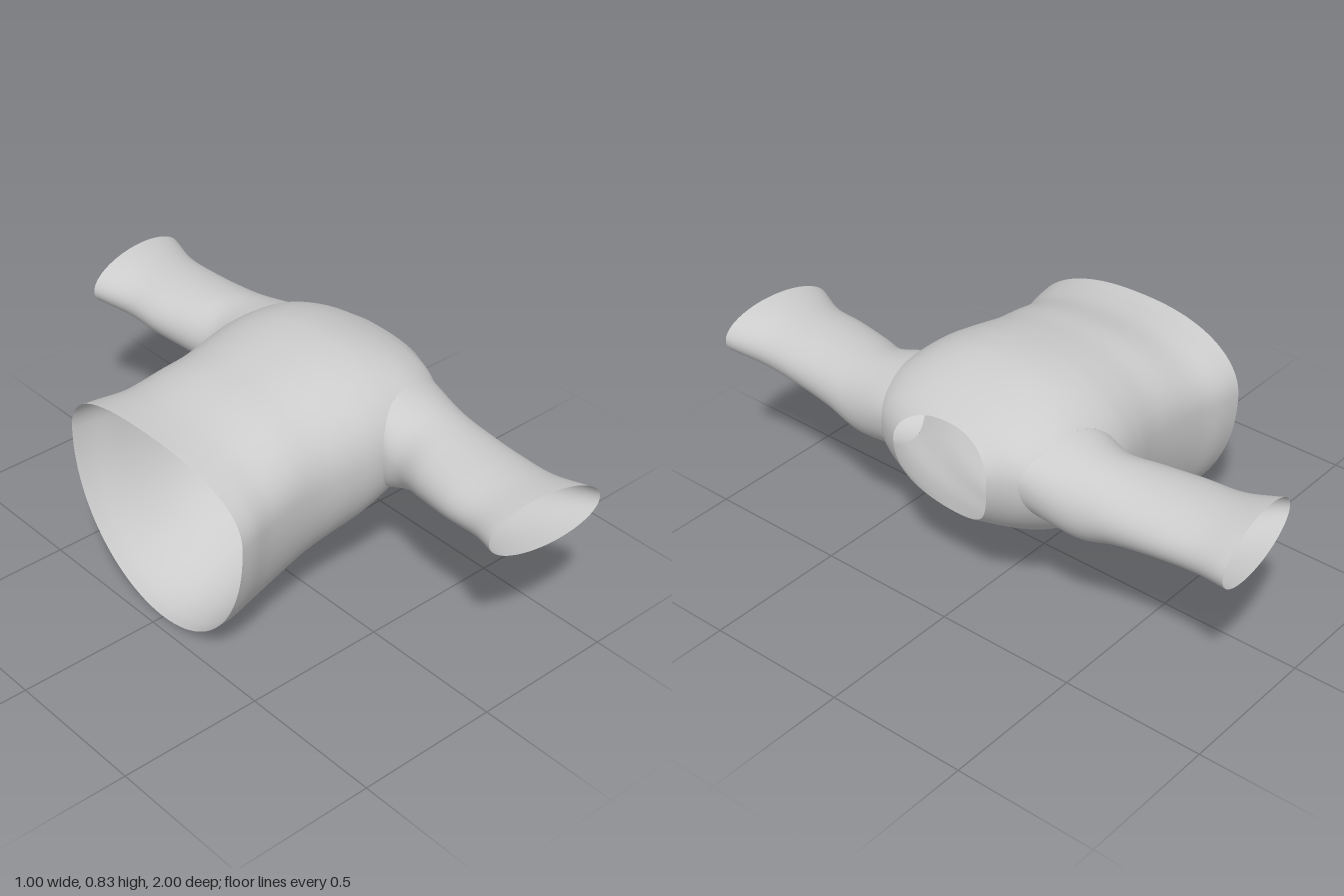
import * as THREE from 'three';

const material = new THREE.MeshStandardMaterial({ color: 0xcccccc, side: THREE.DoubleSide });

// Torso rings from hem to neck: x at top, side, bottom; y at top, side, bottom; half width
const RINGS = [
  [-0.5, -0.475, -0.46, 0.74, 0.52, 0.008, 0.42],
  [-0.43, -0.42, -0.41, 0.738, 0.52, 0.004, 0.41],
  [-0.34, -0.33, -0.32, 0.745, 0.52, 0.014, 0.385],
  [-0.2, -0.2, -0.2, 0.78, 0.53, 0.055, 0.37],
  [-0.1, -0.1, -0.1, 0.797, 0.53, 0.105, 0.37],
  [0, 0, 0, 0.815, 0.54, 0.147, 0.385],
  [0.1, 0.1, 0.1, 0.828, 0.55, 0.182, 0.4],
  [0.2, 0.21, 0.2, 0.828, 0.56, 0.24, 0.4],
  [0.31, 0.33, 0.29, 0.803, 0.58, 0.288, 0.385],
  [0.4, 0.435, 0.36, 0.765, 0.6, 0.33, 0.31],
  [0.46, 0.5, 0.42, 0.73, 0.6, 0.366, 0.188],
];

// Sleeve rings: z at the underarm and shoulder edge, then x and y ranges
const CUFFS = [
  [0.46, 0.45, 0.118, 0.432, 0.425, 0.702],
  [0.57, 0.57, 0.092, 0.418, 0.455, 0.69],
  [0.7, 0.72, 0.068, 0.406, 0.475, 0.685],
  [0.83, 0.87, 0.058, 0.403, 0.49, 0.687],
  [0.945, 1.0, 0.015, 0.432, 0.51, 0.702],
];

// Armhole ellipse in (ring number, angle) space
const ARM = { u: 7.7, a: 0.05, ru: 1.6, ra: 0.6 };

function ringPoint([xT, xS, xB, yT, yM, yB, w], a) {
  const s = Math.sin(a), c = Math.cos(a);
  const e = s > 0 ? 2 / 2.3 : 1;
  const x = xS + ((s > 0 ? xT : xB) - xS) * s * s;
  const y = yM + ((s > 0 ? yT : yB) - yM) * Math.abs(s) ** e;
  return new THREE.Vector3(x, y, w * Math.sign(c) * Math.abs(c) ** e);
}

function torsoPoint(u, a) {
  const curve = new THREE.CatmullRomCurve3(RINGS.map((r) => ringPoint(r, a)));
  return curve.getPoint(Math.min(1, u / (RINGS.length - 1)));
}

// Tube surface from rows of points; triangles whose corners are all cut away are dropped
function tubeMesh(name, rows, flip, cut = () => false) {
  const n = rows[0].length, index = [];
  const tri = (a, b, c) => {
    if (cut(a) && cut(b) && cut(c)) return;
    if (flip) index.push(a, c, b);
    else index.push(a, b, c);
  };
  for (let i = 0; i < rows.length - 1; i++) {
    for (let j = 0; j < n; j++) {
      const k = (j + 1) % n;
      const a = i * n + j, b = a + n, c = (i + 1) * n + k, d = i * n + k;
      tri(a, b, c);
      tri(a, c, d);
    }
  }
  const geometry = new THREE.BufferGeometry().setFromPoints(rows.flat());
  geometry.setIndex(index);
  geometry.computeVertexNormals();
  const mesh = new THREE.Mesh(geometry, material);
  mesh.name = name;
  return mesh;
}

// Torso: grid vertices inside an armhole slide out to its rim
function makeTorso() {
  const NU = 140, NA = 128, rows = [], inside = [];
  for (let i = 0; i <= NU; i++) {
    const row = [];
    for (let j = 0; j < NA; j++) {
      let u = (i / NU) * (RINGS.length - 1);
      let a = -Math.PI / 2 + ((j + 0.5) / NA) * Math.PI * 2;
      let hidden = false;
      for (const centre of [ARM.a, Math.PI - ARM.a]) {
        const du = (u - ARM.u) / ARM.ru, da = (a - centre) / ARM.ra;
        const r = Math.hypot(du, da);
        if (r < 1) {
          hidden = true;
          u = ARM.u + (du / (r || 1)) * ARM.ru;
          a = centre + (da / (r || 1)) * ARM.ra;
        }
      }
      inside.push(hidden);
      row.push(torsoPoint(u, a));
    }
    rows.push(row);
  }
  return tubeMesh('torso', rows, false, (v) => inside[v]);
}

// Sleeve: starts on the armhole rim and runs out to the cuff
function makeSleeve(name, side) {
  const NZ = 40, NP = 96, rows = Array.from({ length: NZ + 1 }, () => []);
  for (let j = 0; j < NP; j++) {
    const p = (j / NP) * Math.PI * 2, c = Math.cos(p), s = Math.sin(p);
    const path = [torsoPoint(ARM.u + ARM.ru * c, ARM.a + ARM.ra * s)];
    for (const [z0, z1, x0, x1, y0, y1] of CUFFS) {
      const t = (c + 1) / 2;
      path.push(new THREE.Vector3(
        THREE.MathUtils.lerp(x0, x1, t),
        (y0 + y1) / 2 + ((y1 - y0) / 2) * s,
        THREE.MathUtils.lerp(z0, z1, t)));
    }
    const curve = new THREE.CatmullRomCurve3(path);
    for (let i = 0; i <= NZ; i++) {
      const v = curve.getPoint(i / NZ);
      v.z *= side;
      rows[i].push(v);
    }
  }
  return tubeMesh(name, rows, side > 0);
}

export function createModel() {
  const group = new THREE.Group();
  group.name = 'shirt';
  group.add(makeTorso(), makeSleeve('frontSleeve', 1), makeSleeve('backSleeve', -1));
  return group;
}
